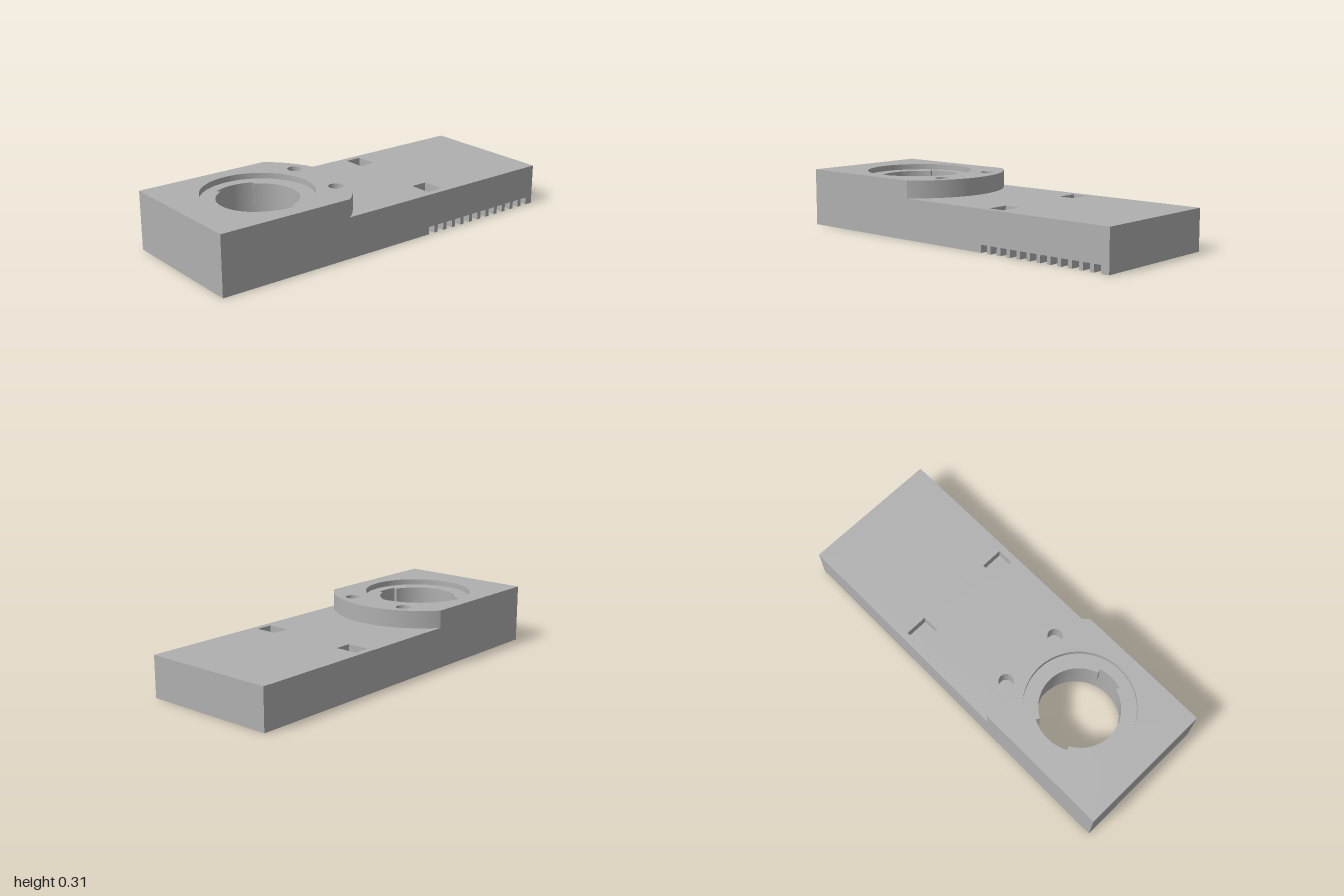
import * as THREE from 'three';
import { toCreasedNormals } from 'three/addons/utils/BufferGeometryUtils.js';

const W = 0.365, L = 1, WALL = 0.06;   // half width, half length, wall thickness
const ZC = 0.555;                      // centre of the round socket
const ROOF = 0.077, LIP = 0.16, DECK = 0.215, SEAT = 0.277, TOP = 0.307;

export function createModel() {
  const model = new THREE.Group();
  const grey = new THREE.MeshStandardMaterial({ color: 0xb0b0b0 });
  grey.name = 'grey plastic';

  // Extrude a plan drawn in (x, z) between two heights
  function layer(name, shape, y0, y1, holes = []) {
    shape.holes.push(...holes);
    const geo = new THREE.ExtrudeGeometry(shape, { depth: y1 - y0, bevelEnabled: false, curveSegments: 64 });
    geo.rotateX(Math.PI / 2);
    const mesh = new THREE.Mesh(toCreasedNormals(geo, 0.5), grey);
    mesh.position.y = y1;
    mesh.name = name;
    model.add(mesh);
  }
  const poly = (pts) => new THREE.Shape(pts.map(([x, z]) => new THREE.Vector2(x, z)));
  const rect = (x0, x1, z0, z1) => poly([[x0, z0], [x1, z0], [x1, z1], [x0, z1]]);
  const circle = (x, z, r) => new THREE.Shape().absarc(x, z, r, 0, Math.PI * 2, false);
  const plan = () => rect(-W, W, -L, L);

  // Socket opening with a wide notch on one side and a narrow one on the other
  function notchedHole() {
    const p = new THREE.Shape(), wide = 0.5, narrow = 0.3, r = 0.205, R = 0.226;
    p.absarc(0, ZC, r, narrow, Math.PI - wide, false);
    p.absarc(0, ZC, R, Math.PI - wide, Math.PI + wide, false);
    p.absarc(0, ZC, r, Math.PI + wide, 2 * Math.PI - narrow, false);
    p.absarc(0, ZC, R, -narrow, narrow, false);
    p.closePath();
    return p;
  }

  // Raised front with a round back edge
  function raisedPlan() {
    const a = Math.atan2(-0.28, W);
    const p = new THREE.Shape();
    p.moveTo(-W, L);
    p.lineTo(W, L);
    p.absarc(0, ZC, 0.46, a, -Math.PI - a, true);
    p.closePath();
    return p;
  }
  const pinHoles = () => [-0.172, 0.172].map((x) => circle(x, 0.21, 0.038));

  // Skirt, with a row of slots through the left wall
  const xi = W - WALL, zi = L - WALL;
  const first = -0.24, slot = 0.039, pitch = 0.0615, slots = 12, slotTop = 0.04;
  const last = first - pitch * (slots - 1) - slot;
  layer('skirt', poly([[W, first], [W, L], [-W, L], [-W, -L], [W, -L], [W, last], [xi, last],
    [xi, -zi], [-xi, -zi], [-xi, zi], [xi, zi], [xi, first]]), 0, slotTop);
  for (let i = 0; i < slots - 1; i++) {
    const z = first - pitch * i - slot;
    layer('slotTooth', rect(xi, W, z - (pitch - slot), z), 0, slotTop);
  }
  layer('upperSkirt', plan(), slotTop, ROOF, [rect(-xi, xi, -zi, zi)]);

  // Socket collar under the deck
  layer('socketCollar', circle(0, ZC, 0.286), 0, ROOF, [circle(0, ZC, 0.226)]);

  // Deck, with two blind pockets
  layer('lowerDeck', plan(), ROOF, LIP, [circle(0, ZC, 0.226)]);
  layer('upperDeck', plan(), LIP, DECK,
    [notchedHole(), rect(-0.33, -0.21, -0.35, -0.26), rect(0.21, 0.33, -0.35, -0.26)]);

  // Raised block with pin holes and a shallow round recess
  layer('raisedBlock', raisedPlan(), DECK, SEAT, [notchedHole(), ...pinHoles()]);
  layer('recessRim', raisedPlan(), SEAT, TOP, [circle(0, ZC, 0.283), ...pinHoles()]);

  return model;
}
